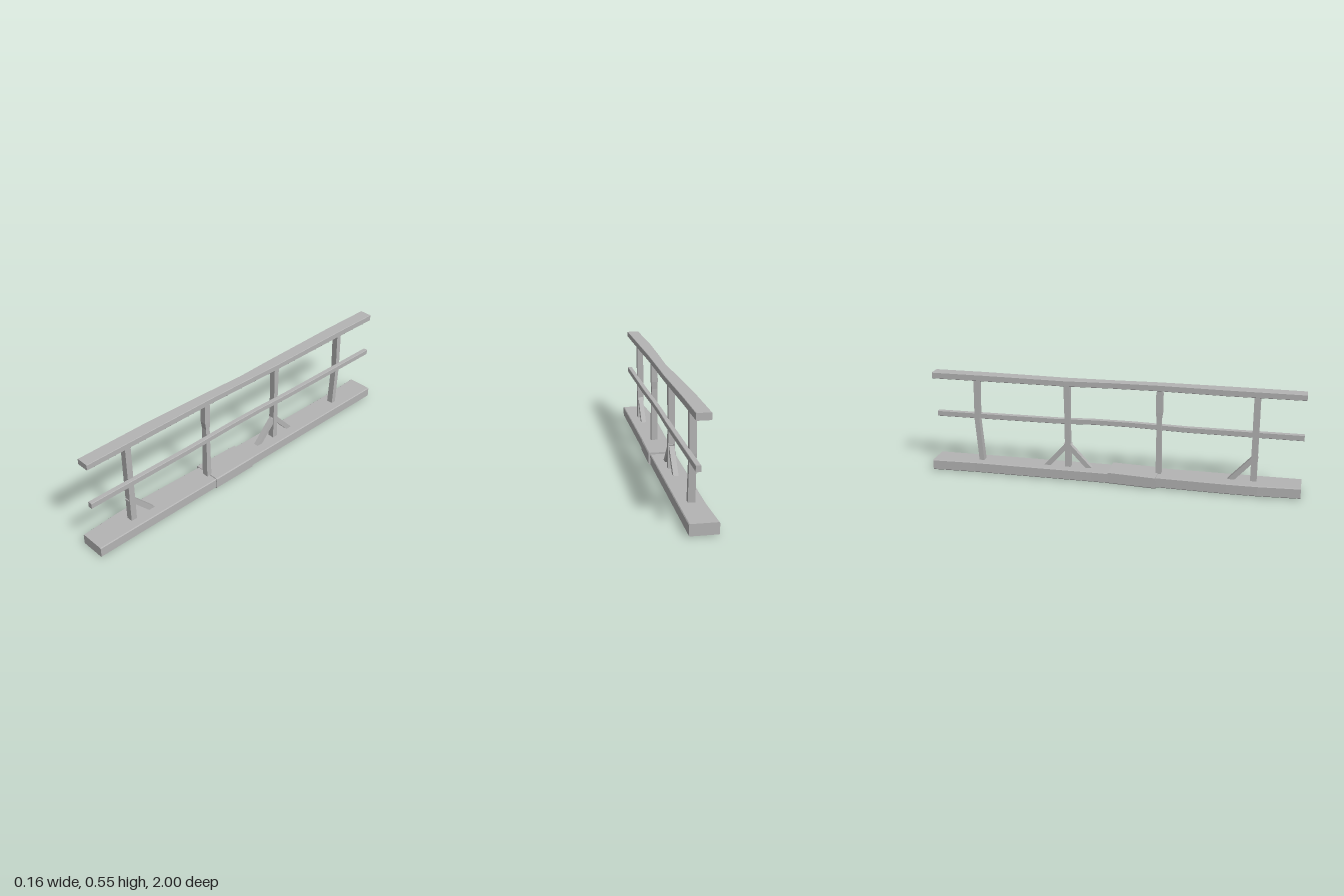
import * as THREE from 'three';

const stone = new THREE.MeshStandardMaterial({ color: 0xb4b4b4, flatShading: true });
stone.name = 'plain grey';

// Lofts a chamfered rectangle through stations [t, a0, a1, b0, b1].
// axis 'z': a = x, b = y.  axis 'y': a = z, b = x.
function loft(name, axis, stations, c = 0) {
  const rings = stations.map(([t, a0, a1, b0, b1]) => {
    const ring = c
      ? [[a0 + c, b0], [a1 - c, b0], [a1, b0 + c], [a1, b1 - c],
        [a1 - c, b1], [a0 + c, b1], [a0, b1 - c], [a0, b0 + c]]
      : [[a0, b0], [a1, b0], [a1, b1], [a0, b1]];
    return ring.map(([a, b]) => (axis === 'z' ? [a, b, t] : [b, t, a]));
  });
  const pos = [];
  const tri = (p, q, r) => pos.push(...p, ...q, ...r);
  const n = rings[0].length;
  for (let s = 0; s < rings.length - 1; s++) {
    const lo = rings[s], hi = rings[s + 1];
    for (let i = 0; i < n; i++) {
      const j = (i + 1) % n;
      tri(lo[i], lo[j], hi[j]);
      tri(lo[i], hi[j], hi[i]);
    }
  }
  // End caps
  const first = rings[0], last = rings[rings.length - 1];
  for (let i = 1; i < n - 1; i++) {
    tri(first[0], first[i + 1], first[i]);
    tri(last[0], last[i], last[i + 1]);
  }
  const geo = new THREE.BufferGeometry();
  geo.setAttribute('position', new THREE.Float32BufferAttribute(pos, 3));
  geo.computeVertexNormals();
  const mesh = new THREE.Mesh(geo, stone);
  mesh.name = name;
  return mesh;
}

// Diagonal brace from the post (z0) down to the base (z1)
function brace(name, z0, z1) {
  const h = 0.036;
  return loft(name, 'y', [
    [0.055, Math.min(z1, z1 + Math.sign(z0 - z1) * h), Math.max(z1, z1 + Math.sign(z0 - z1) * h), -0.011, 0.016],
    [0.19, Math.min(z0, z0 + Math.sign(z0 - z1) * h), Math.max(z0, z0 + Math.sign(z0 - z1) * h), -0.011, 0.016],
  ]);
}

export function createModel() {
  const model = new THREE.Group();
  model.name = 'railing';

  // Long footing with an uneven edge
  model.add(loft('base', 'z', [
    [-1, -0.069, 0.07, 0.004, 0.061],
    [-0.76, -0.06, 0.07, 0.004, 0.061],
    [-0.1, -0.064, 0.07, 0.004, 0.061],
    [0.25, -0.07, 0.071, 0.004, 0.061],
    [0.62, -0.081, 0.071, 0.004, 0.061],
    [0.78, -0.08, 0.071, 0.004, 0.061],
    [1, -0.066, 0.072, 0.004, 0.061],
  ], 0.004));

  // Raised, slightly skewed block in the footing
  model.add(loft('baseBlock', 'z', [
    [-0.01, -0.07, 0.08, 0.005, 0.071],
    [0.25, -0.082, 0.075, 0, 0.065],
  ], 0.005));

  // Handrail
  model.add(loft('topRail', 'z', [
    [-0.99, -0.029, 0.041, 0.518, 0.552],
    [-0.7, -0.03, 0.04, 0.518, 0.552],
    [-0.25, -0.026, 0.04, 0.516, 0.547],
    [0, -0.016, 0.038, 0.517, 0.549],
    [0.25, -0.022, 0.038, 0.52, 0.552],
    [0.6, -0.03, 0.04, 0.518, 0.551],
    [1, -0.027, 0.041, 0.518, 0.549],
  ], 0.002));

  // Middle rail, bowed up at the centre
  model.add(loft('middleRail', 'z', [
    [-0.99, 0.015, 0.04, 0.291, 0.321],
    [-0.3, 0.015, 0.04, 0.293, 0.322],
    [-0.1, 0.016, 0.04, 0.3, 0.328],
    [0.1, 0.016, 0.04, 0.3, 0.328],
    [0.4, 0.015, 0.04, 0.292, 0.321],
    [1, 0.015, 0.04, 0.29, 0.321],
  ], 0.002));

  // Posts, each worn differently
  const posts = {
    frontPost: [[0.055, 0.738, 0.771, -0.015, 0.02], [0.525, 0.738, 0.771, -0.015, 0.02]],
    chippedPost: [
      [0.055, 0.239, 0.268, -0.014, 0.022], [0.36, 0.24, 0.264, -0.014, 0.018],
      [0.4, 0.236, 0.27, -0.015, 0.019], [0.5, 0.236, 0.27, -0.015, 0.019],
      [0.525, 0.24, 0.268, -0.015, 0.019],
    ],
    bracedPost: [
      [0.055, -0.259, -0.228, -0.015, 0.02], [0.3, -0.257, -0.23, -0.014, 0.019],
      [0.525, -0.26, -0.228, -0.015, 0.02],
    ],
    bentPost: [
      [0.055, -0.748, -0.72, -0.014, 0.022], [0.3, -0.765, -0.738, -0.015, 0.019],
      [0.525, -0.76, -0.73, -0.015, 0.02],
    ],
  };
  for (const [name, stations] of Object.entries(posts)) model.add(loft(name, 'y', stations));

  // Diagonal braces
  model.add(brace('frontBrace', 0.74, 0.615));
  model.add(brace('middleBraceFront', -0.23, -0.105));
  model.add(brace('middleBraceBack', -0.257, -0.382));

  return model;
}
